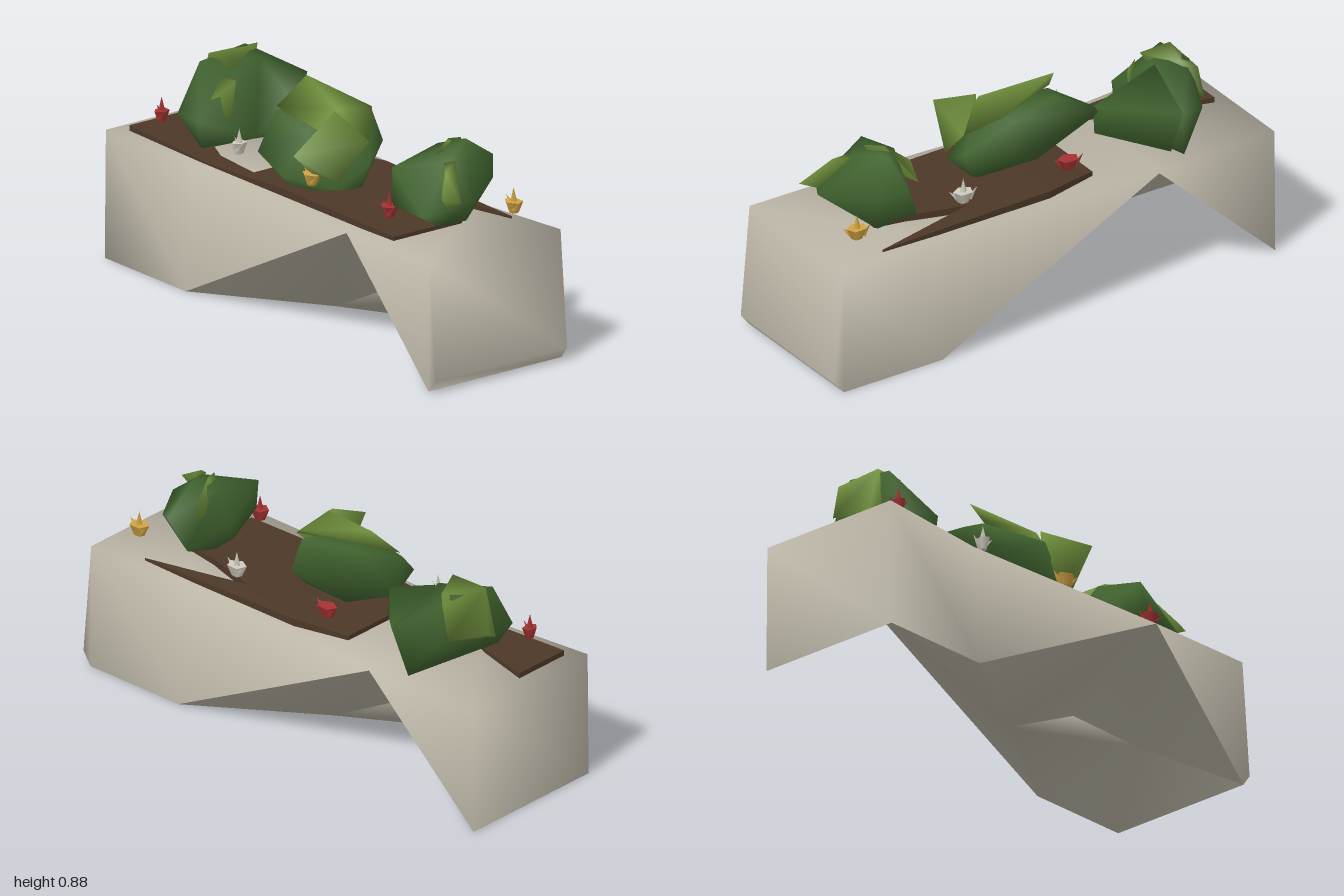
import * as THREE from 'three';
import { mergeVertices } from 'three/addons/utils/BufferGeometryUtils.js';
import { ConvexGeometry } from 'three/addons/geometries/ConvexGeometry.js';

const mat = (name, color) => {
  const m = new THREE.MeshStandardMaterial({ color });
  m.name = name;
  return m;
};

export function createModel() {
  const model = new THREE.Group();
  const stone = mat('stone', 0xbbb5a6);
  const earth = mat('earth', 0x4c3828);
  const leaf = mat('leaf', 0x41642f);
  const freshLeaf = mat('freshLeaf', 0x6f8f3c);
  const red = mat('redPetal', 0xa63333);
  const yellow = mat('yellowPetal', 0xd2a444);
  const white = mat('whitePetal', 0xd0ccc0);

  const add = (parent, name, geometry, material) => {
    const mesh = new THREE.Mesh(geometry, material);
    mesh.name = name;
    parent.add(mesh);
    return mesh;
  };

  // Smooth-shaded convex lump through a few corner points
  const lump = (points) => {
    const g = new ConvexGeometry(points.map((p) => new THREE.Vector3(...p)));
    g.deleteAttribute('normal');
    const merged = mergeVertices(g, 1e-4);
    merged.computeVertexNormals();
    return merged;
  };

  // Trough: one half is listed, the other is its half-turn about y
  const half = [
    [-1, 0.51, 0.315], [-0.5, 0.5, 0.28], [0.47, 0.5, 0.325], [0.96, 0.51, 0.315],
    [-1, 0, 0.32], [-0.51, 0, 0.32], [0.96, 0, 0.32],
    [0.47, 0.25, -0.1], [0.8, 0.23, -0.08], // hollow under the front
  ];
  const n = half.length, C = 2 * n, E = C + 1, F = C + 2;
  const verts = [
    ...half, ...half.map(([x, y, z]) => [-x, y, -z]),
    [0, 0.01, 0], [1, 0.05, 0.315], [1, 0.05, -0.315], // centre of the base, foot of the right end
  ];
  verts[n][0] = verts[n + 4][0] = 0.96;
  verts[n + 3][0] = verts[n + 6][0] = -1;
  const turn = (i) => (i === C ? C : (i + n) % C);
  const both = (faces) => [...faces, ...faces.map((f) => f.map(turn))];
  const surfaces = {
    walls: [
      ...both([
        [0, 4, 5], [0, 5, 1], [1, 5, 2], [2, 6, 3],       // long sides
        [12, 0, 1], [12, 1, 11], [1, 2, 10],              // top
      ]),
      [12, 15, 4], [12, 4, 0],                            // left end
      [3, 6, E], [3, E, F], [3, F, 9], [F, 13, 9], [E, 6, 13], [E, 13, F], // right end
    ],
    hollows: both([[2, 5, C], [2, C, 7], [6, 2, 8], [2, 7, 8]]),
    underside: both([[8, 7, C], [8, C, 14], [8, 14, 13], [8, 13, 6]]),
  };
  const trough = new THREE.Group();
  trough.name = 'trough';
  for (const [name, faces] of Object.entries(surfaces)) {
    const g = new THREE.BufferGeometry();
    g.setAttribute('position', new THREE.Float32BufferAttribute(verts.flat(), 3));
    g.setIndex(faces.flat());
    g.computeVertexNormals();
    add(trough, name, g, stone);
  }
  model.add(trough);

  // Soil: thin irregular slab that sinks to the rim in the left half and at the right end
  const outline = [
    [-0.94, 0], [-0.94, 0.25], [-0.47, 0.25], [0, 0.25], [0.66, 0.25], [0.66, -0.08],
    [0.53, -0.1], [0.3, -0.17], [0.74, -0.255], [-0.02, -0.255], [-0.25, -0.2],
    [-0.25, 0.2], [-0.5, 0.16], [-0.7, 0.07],
  ];
  const soil = new THREE.ExtrudeGeometry(
    new THREE.Shape(outline.map(([x, z]) => new THREE.Vector2(x, -z))),
    { depth: 0.035, bevelEnabled: false });
  soil.rotateX(-Math.PI / 2).translate(0, 0.495, 0);
  const pos = soil.attributes.position;
  for (let i = 0; i < pos.count; i++) {
    const x = pos.getX(i);
    const dip = 0.022 * Math.max(0, 1 - Math.abs(x + 0.47) / 0.45);
    const fall = 0.05 * Math.max(0, x - 0.45);
    pos.setY(i, pos.getY(i) - dip - fall);
  }
  soil.computeVertexNormals();
  add(model, 'soil', soil, earth);

  // Shrubs: dark lumps with brighter growth
  const shrubs = {
    leftShrub: [
      [leaf, [[-0.73, 0.83, -0.14], [-0.6, 0.825, -0.08], [-0.58, 0.72, -0.32], [-0.73, 0.66, -0.23],
        [-0.74, 0.8, 0.07], [-0.77, 0.62, 0], [-0.75, 0.61, 0.17], [-0.6, 0.62, 0.19],
        [-0.6, 0.51, 0.17], [-0.62, 0.51, -0.27], [-0.74, 0.55, 0.1], [-0.57, 0.51, -0.08]]],
      [leaf, [[-0.58, 0.72, -0.32], [-0.6, 0.825, -0.1], [-0.58, 0.52, -0.24], [-0.34, 0.71, -0.07],
        [-0.34, 0.6, -0.08], [-0.57, 0.51, -0.06]]],
      [freshLeaf, [[-0.73, 0.82, -0.2], [-0.68, 0.835, -0.15], [-0.6, 0.83, 0], [-0.76, 0.68, -0.2],
        [-0.78, 0.64, 0], [-0.75, 0.82, 0.02], [-0.765, 0.6, 0.06]]],
      [freshLeaf, [[-0.62, 0.77, 0.06], [-0.57, 0.76, 0.03], [-0.58, 0.6, 0.05], [-0.62, 0.68, 0.12]]],
    ],
    middleShrub: [
      [leaf, [[-0.38, 0.69, -0.08], [-0.25, 0.74, 0.1], [-0.18, 0.8, -0.06], [0.06, 0.79, -0.12],
        [0.08, 0.66, -0.16], [0.2, 0.63, 0], [0.18, 0.55, 0.14], [0, 0.51, 0.19], [0.15, 0.52, 0],
        [-0.2, 0.62, 0.22], [-0.06, 0.56, 0.22], [0.03, 0.74, 0.16], [-0.1, 0.55, -0.05]]],
      [freshLeaf, [[-0.2, 0.875, -0.015], [-0.25, 0.76, 0.09], [0.09, 0.83, 0.06], [0.09, 0.81, -0.1],
        [0.2, 0.72, 0], [0.02, 0.75, 0.12], [0.17, 0.7, 0.1]]],
      [freshLeaf, [[0.09, 0.83, 0.08], [0.2, 0.72, 0], [0.13, 0.71, 0.31], [0.05, 0.66, 0.14],
        [0.19, 0.58, 0.14], [0.1, 0.6, 0.19]]],
    ],
    rightShrub: [
      [leaf, [[0.51, 0.65, -0.04], [0.55, 0.8, -0.05], [0.63, 0.825, -0.12], [0.62, 0.73, -0.26],
        [0.56, 0.6, -0.22], [0.55, 0.75, 0.17], [0.58, 0.61, 0.19], [0.75, 0.6, 0.18],
        [0.7, 0.78, 0.02], [0.85, 0.66, 0.02], [0.72, 0.68, -0.18], [0.66, 0.51, -0.1],
        [0.6, 0.51, -0.02], [0.7, 0.53, 0.06], [0.52, 0.58, 0]]],
      [freshLeaf, [[0.55, 0.8, -0.16], [0.6, 0.83, -0.06], [0.64, 0.81, 0.02], [0.54, 0.72, -0.2],
        [0.58, 0.7, 0.02]]],
      [freshLeaf, [[0.8, 0.68, 0.13], [0.7, 0.78, 0.04], [0.72, 0.785, 0], [0.78, 0.63, 0.09],
        [0.88, 0.68, 0.1], [0.75, 0.76, 0.07]]],
    ],
  };
  for (const [name, parts] of Object.entries(shrubs)) {
    const shrub = new THREE.Group();
    shrub.name = name;
    for (const [m, points] of parts)
      add(shrub, m === leaf ? 'foliage' : 'newGrowth', lump(points), m);
    model.add(shrub);
  }

  // Flowers: faceted cup, pointed side petals and, on most, a tall petal
  const flower = (x, z, material, halfWidth, tall) => {
    const g = new THREE.Group();
    g.name = 'flower';
    const cup = add(g, 'cup', new THREE.CylinderGeometry(0.034, 0.018, 0.045, 5), material);
    cup.position.y = 0.588;
    cup.scale.x = halfWidth / 0.04;
    if (tall)
      add(g, 'tallPetal', new THREE.ConeGeometry(0.02, 0.07, 4), material).position.y = 0.63;
    for (const side of [-1, 1]) {
      const petal = add(g, 'sidePetal', new THREE.ConeGeometry(0.014, 0.055, 3), material);
      petal.position.set(side * halfWidth * 0.75, 0.6, 0.01 * side);
      petal.rotation.z = -side * 0.8;
    }
    g.position.set(x, 0, z);
    model.add(g);
  };
  const beds = [
    [-0.82, 0.19, red, 0.03, true], [-0.35, 0.19, white, 0.03, true],
    [0.1, 0.2, yellow, 0.05, false], [0.57, 0.2, red, 0.045, true],
    [-0.14, -0.2, red, 0.055, false], [0.33, -0.19, white, 0.05, true],
    [0.82, -0.2, yellow, 0.05, true],
  ];
  beds.forEach((bed) => flower(...bed));

  return model;
}
